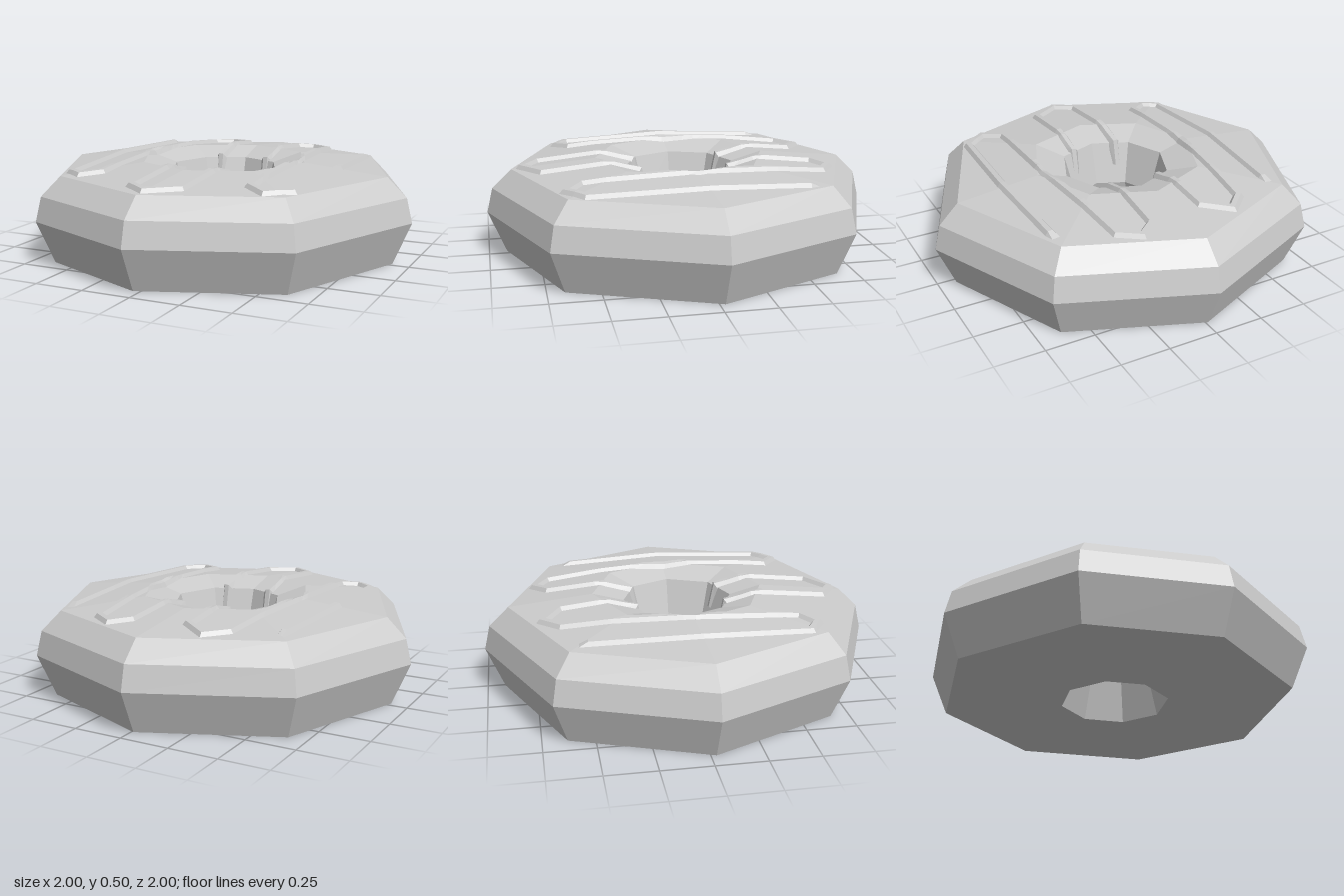
import * as THREE from 'three';

// Slightly uneven eight-sided plan, in degrees
const ANGLES = [-1.7, 47, 92.2, 133.8, 178.3, 223.8, 269.4, 313.8].map(THREE.MathUtils.degToRad);
const SIDES = ANGLES.length;

// Closed ring section [radius, y]: outside upwards, over the top, down the hole
const PROFILE = [
  [0.91, 0], [1, 0.215], [0.97, 0.34], [0.87, 0.437],
  [0.44, 0.48], [0.28, 0.435], [0.22, 0.22], [0.28, 0],
];

function makeMesh(name, positions, index) {
  let geometry = new THREE.BufferGeometry();
  geometry.setAttribute('position', new THREE.Float32BufferAttribute(positions, 3));
  geometry.setIndex(index);
  geometry = geometry.toNonIndexed();
  geometry.computeVertexNormals();
  const mesh = new THREE.Mesh(geometry, new THREE.MeshStandardMaterial({ color: 0xcccccc, flatShading: true }));
  mesh.name = name;
  return mesh;
}

function ringBody() {
  const positions = [], index = [], n = PROFILE.length;
  for (const a of ANGLES) {
    for (const [r, y] of PROFILE) positions.push(r * Math.cos(a), y, r * Math.sin(a));
  }
  for (let s = 0; s < SIDES; s++) {
    const t = (s + 1) % SIDES;
    for (let i = 0; i < n; i++) {
      const j = (i + 1) % n;
      const a = s * n + i, b = s * n + j, c = t * n + i, d = t * n + j;
      index.push(a, b, c, b, d, c);
    }
  }
  return makeMesh('ringBody', positions, index);
}

// Height of the faceted top at a point
function topHeight(x, z) {
  let r = 0;
  for (let i = 0; i < SIDES; i++) {
    const a = ANGLES[i], b = i + 1 < SIDES ? ANGLES[i + 1] : ANGLES[0] + Math.PI * 2;
    const mid = (a + b) / 2;
    r = Math.max(r, (x * Math.cos(mid) + z * Math.sin(mid)) / Math.cos((b - a) / 2));
  }
  for (let i = 3; i < 5; i++) {
    const [r0, y0] = PROFILE[i], [r1, y1] = PROFILE[i + 1];
    if (r >= r1) return y0 + (y1 - y0) * (r - r0) / (r1 - r0);
  }
  return PROFILE[5][1];
}

// Ridge section: [offset across, height above the surface]
const RIDGE = [[-0.03, -0.006], [-0.012, 0.019], [0.012, 0.019], [0.03, -0.006]];

// Thin icing ridge along [x, z] points; ends near the hole run down its wall
function icingLine(name, points) {
  const path = [];
  points.forEach(([x, z], i) => {
    path.push(new THREE.Vector2(x, z));
    if (i === points.length - 1) return;
    const [x1, z1] = points[i + 1];
    const steps = Math.max(1, Math.round(Math.hypot(x1 - x, z1 - z) / 0.06));
    for (let k = 1; k < steps; k++) {
      path.push(new THREE.Vector2(x + (x1 - x) * k / steps, z + (z1 - z) * k / steps));
    }
  });

  const rows = [];
  const last = path.length - 1;
  path.forEach((p, i) => {
    const before = p.clone().sub(path[Math.max(i - 1, 0)]).normalize();
    const after = path[Math.min(i + 1, last)].clone().sub(p).normalize();
    const t = before.clone().add(after).normalize();
    const mitre = 1 / Math.max(0.6, t.dot(i < last ? after : before));
    const isEnd = i === 0 || i === last;
    const inHole = isEnd && p.length() < 0.4;
    rows.push(RIDGE.map(([across, up]) => {
      const x = p.x - t.y * across * mitre, z = p.y + t.x * across * mitre;
      const lift = isEnd && !inHole ? -0.006 : up;
      const lean = inHole ? -Math.sign(p.y) * lift * 0.7 : 0;
      return [x, topHeight(x, z) + lift, z + lean];
    }));
    // Short run down the wall of the hole
    if (inHole) {
      const wall = RIDGE.map(([across, up]) => [
        p.x - t.y * across, 0.32, p.y - Math.sign(p.y) * (0.022 + up),
      ]);
      if (i === 0) rows.unshift(wall);
      else rows.push(wall);
    }
  });

  const n = RIDGE.length, index = [];
  for (let i = 0; i < rows.length - 1; i++) {
    for (let j = 0; j < n - 1; j++) {
      const a = i * n + j;
      index.push(a, a + 1, a + n, a + 1, a + n + 1, a + n);
    }
  }
  // Blunt caps
  const e = (rows.length - 1) * n;
  index.push(0, 2, 1, 0, 3, 2, e, e + 1, e + 2, e, e + 2, e + 3);
  return makeMesh(name, rows.flat(2), index);
}

export function createModel() {
  const group = new THREE.Group();
  group.name = 'icedRing';
  group.add(ringBody());
  group.add(icingLine('rightIcing', [
    [-0.57, -0.57], [-0.61, 0.02], [-0.585, 0.55], [-0.5, 0.605], [-0.415, 0.54],
    [-0.415, 0.02], [-0.35, -0.62], [-0.26, -0.705], [-0.135, -0.62], [-0.125, -0.235],
  ]));
  group.add(icingLine('frontIcing', [
    [-0.125, 0.235], [-0.13, 0.74], [-0.025, 0.815], [0.115, 0.72], [0.125, 0.235],
  ]));
  group.add(icingLine('leftIcing', [
    [0.14, -0.23], [0.155, -0.66], [0.24, -0.725], [0.34, -0.66], [0.4, 0],
    [0.39, 0.56], [0.49, 0.635], [0.595, 0.55], [0.625, 0], [0.6, -0.57],
  ]));
  return group;
}
